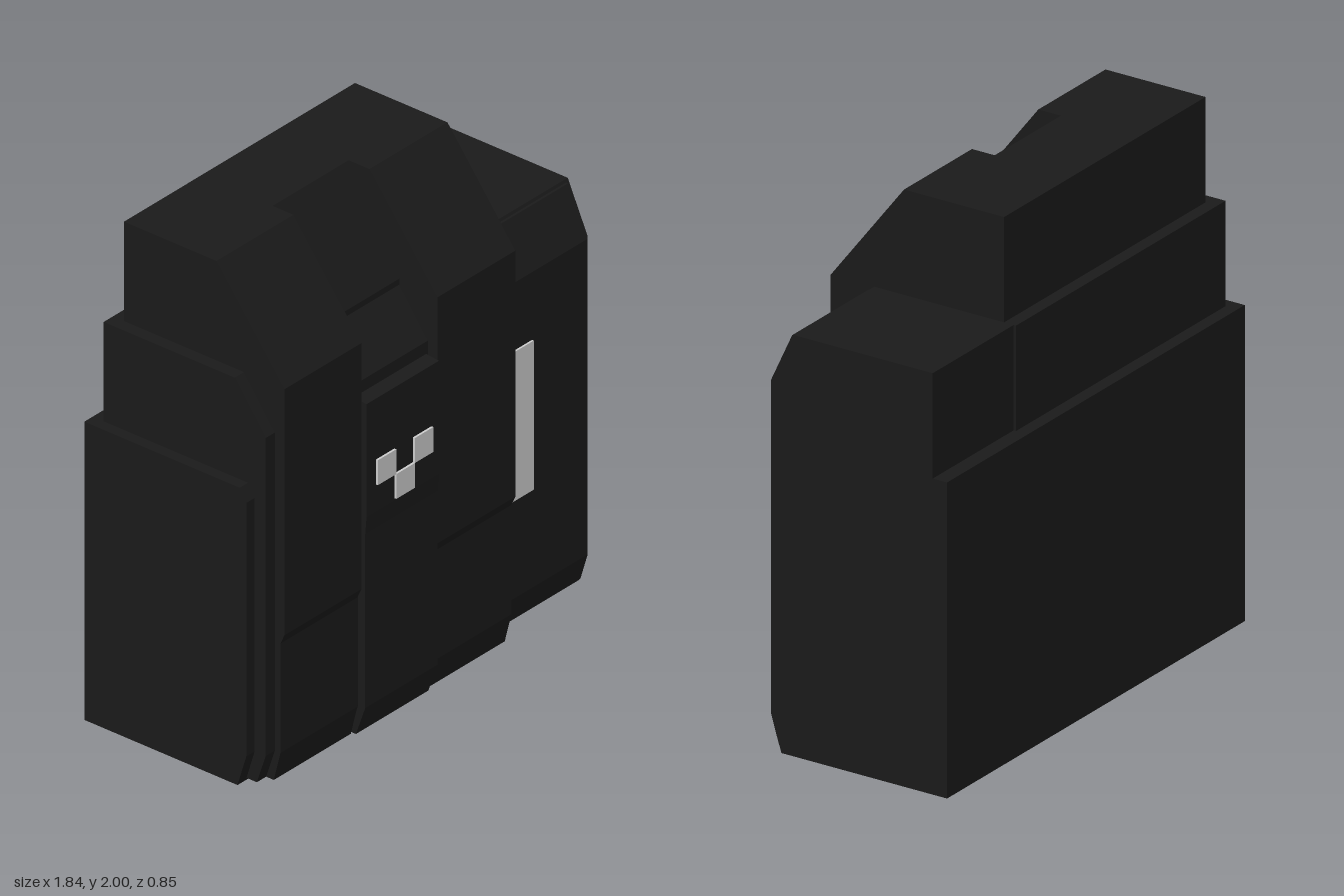
import * as THREE from 'three';

const dark = new THREE.MeshStandardMaterial({ color: 0x1a1a1a, flatShading: true });
const light = new THREE.MeshStandardMaterial({ color: 0xcccccc, flatShading: true });

// Side profile of [z, y] points, extruded across x from x0 to x1
function slab(name, x0, x1, points) {
  const shape = new THREE.Shape(points.map(([z, y]) => new THREE.Vector2(z, y)));
  const geometry = new THREE.ExtrudeGeometry(shape, { depth: x1 - x0, bevelEnabled: false });
  geometry.rotateY(-Math.PI / 2).translate(x1, 0, 0);
  const mesh = new THREE.Mesh(geometry, dark);
  mesh.name = name;
  return mesh;
}

// Thin light panel standing just proud of the front
function lamp(name, x, y, z, w, h) {
  const mesh = new THREE.Mesh(new THREE.BoxGeometry(w, h, 0.02), light);
  mesh.position.set(x, y, z - 0.01);
  mesh.name = name;
  return mesh;
}

export function createModel() {
  const group = new THREE.Group();

  // Stepped rear and side casing
  group.add(slab('lowerCasing', -0.92, 0.92, [
    [-0.425, 0], [0.27, 0], [0.31, 0.13], [0.31, 1.15], [0.28, 1.2], [-0.425, 1.2],
  ]));
  group.add(slab('middleCasing', -0.875, 0.42, [
    [-0.375, 0.01], [0.32, 0.01], [0.36, 0.13], [0.36, 1.41], [0.22, 1.6], [-0.375, 1.6],
  ]));

  // Tall tower: two sloped shoulders with recessed lower panels
  for (const [side, x0, x1] of [['right', -0.825, -0.41], ['left', 0, 0.42]]) {
    group.add(slab(side + 'Shoulder', x0, x1, [
      [-0.325, 0.01], [0.355, 0.01], [0.385, 0.13], [0.385, 0.57], [0.403, 0.61],
      [0.403, 1.6], [0.095, 2], [-0.325, 2],
    ]));
  }

  // Recessed channel between the shoulders
  group.add(slab('centreChannel', -0.41, 0, [
    [-0.325, 0.01], [0.34, 0.01], [0.38, 0.13], [0.38, 1.35], [0.23, 1.37],
    [0.23, 1.61], [0, 2], [-0.325, 2],
  ]));
  group.add(slab('centrePanel', -0.4, -0.01, [
    [0.2, 0.01], [0.37, 0.01], [0.412, 0.13], [0.412, 0.83], [0.418, 0.9],
    [0.418, 1.355], [0.23, 1.375], [0.2, 1.375],
  ]));

  // Side box with its sloped front plate
  group.add(slab('sideBox', 0.42, 0.92, [
    [-0.365, 0.01], [0.27, 0.01], [0.31, 0.13], [0.31, 1.4], [0.22, 1.6], [-0.365, 1.6],
  ]));
  group.add(slab('sideBoxPlate', 0.43, 0.905, [
    [0.2, 0.02], [0.29, 0.02], [0.323, 0.13], [0.323, 1.4], [0.235, 1.59], [0.2, 1.59],
  ]));

  // Front lights
  for (const [x, y] of [[-0.3, 1.06], [-0.1, 1.06], [-0.2, 0.96]]) {
    group.add(lamp('squareLight', x, y, 0.427, 0.1, 0.1));
  }
  group.add(lamp('barLight', 0.53, 0.828, 0.331, 0.15, 0.6));

  return group;
}
